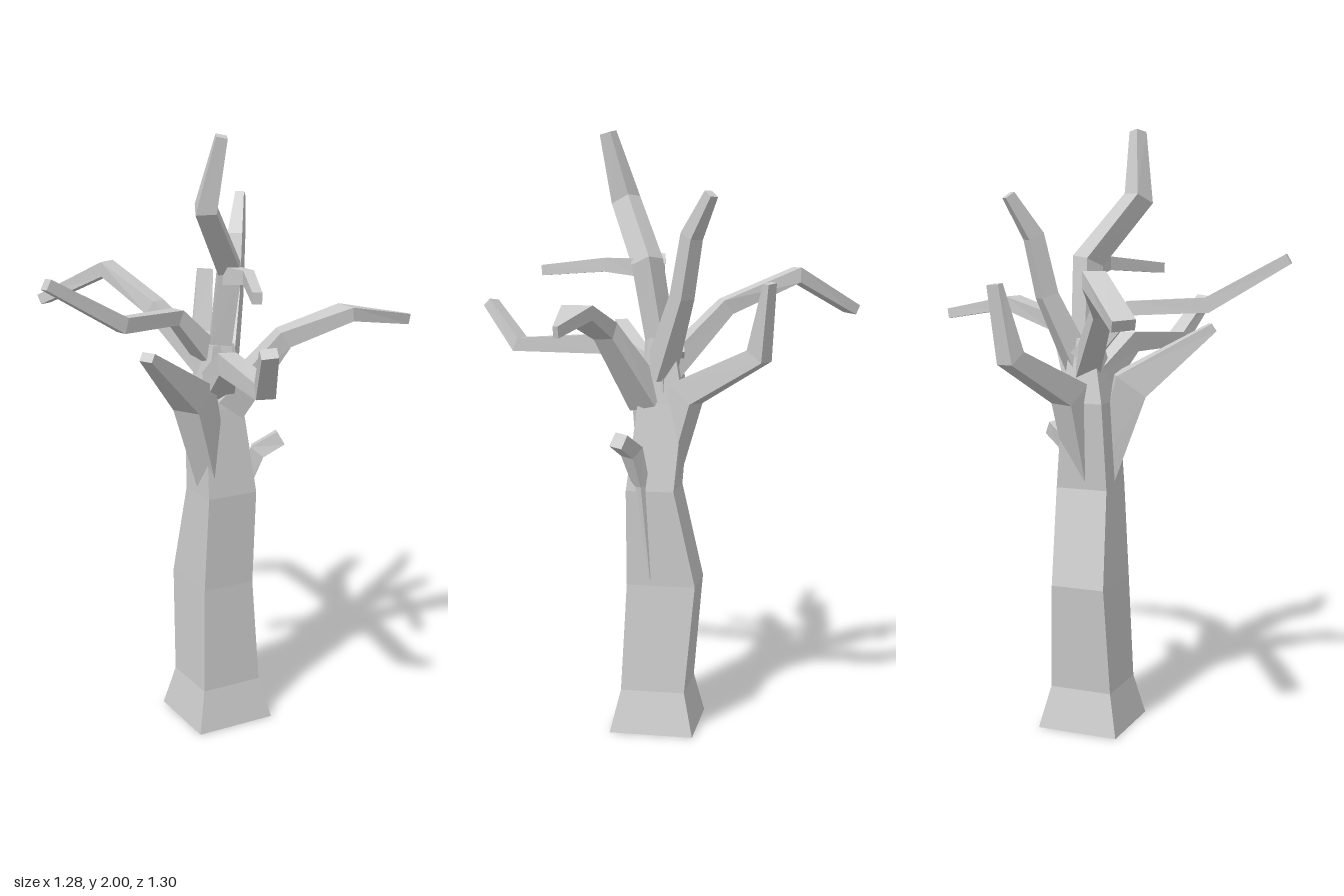
import * as THREE from 'three';

const material = new THREE.MeshStandardMaterial({ color: 0xcccccc, flatShading: true });

// Skin a list of four-cornered rings, closed at both ends.
function loft(name, rings) {
  const pos = [];
  const quad = (a, b, c, d) => [a, b, c, a, c, d].forEach((p) => pos.push(p.x, p.y, p.z));
  for (let k = 0; k < rings.length - 1; k++) {
    const a = rings[k], b = rings[k + 1];
    for (let i = 0; i < 4; i++) {
      const j = (i + 1) % 4;
      quad(a[i], a[j], b[j], b[i]);
    }
  }
  const first = rings[0], last = rings[rings.length - 1];
  quad(first[3], first[2], first[1], first[0]);
  quad(last[0], last[1], last[2], last[3]);
  const geometry = new THREE.BufferGeometry();
  geometry.setAttribute('position', new THREE.Float32BufferAttribute(pos, 3));
  geometry.computeVertexNormals();
  const mesh = new THREE.Mesh(geometry, material);
  mesh.name = name;
  return mesh;
}

// Rectangle around a centre, counterclockwise about side x up.
function ring(center, side, up, w, h) {
  return [[1, 1], [-1, 1], [-1, -1], [1, -1]].map(([a, b]) =>
    center.clone().addScaledVector(side, a * w / 2).addScaledVector(up, b * h / 2));
}

// Four-sided limb through points [x, y, z, width, depth].
function branch(name, points) {
  const p = points.map((q) => new THREE.Vector3(q[0], q[1], q[2]));
  const n = p.length;
  const chord = p[n - 1].clone().sub(p[0]);
  const across = new THREE.Vector3(chord.z, 0, -chord.x).normalize();
  const rings = p.map((c, i) => {
    const t = new THREE.Vector3();
    if (i > 0) t.add(c.clone().sub(p[i - 1]).normalize());
    if (i < n - 1) t.add(p[i + 1].clone().sub(c).normalize());
    t.normalize();
    const side = across.clone().addScaledVector(t, -across.dot(t)).normalize();
    const up = t.clone().cross(side);
    return ring(c, side, up, points[i][3], points[i][4]);
  });
  return loft(name, rings);
}

export function createModel() {
  const tree = new THREE.Group();
  tree.name = 'bareTree';

  // Trunk levels: y, centre x, centre z, size x, size z
  const levels = [
    [0, 0, 0, 0.28, 0.28],
    [0.14, 0, 0, 0.215, 0.215],
    [0.5, -0.003, -0.025, 0.185, 0.23],
    [0.82, 0.012, 0.01, 0.18, 0.16],
    [1.11, 0, -0.02, 0.14, 0.15],
    [1.32, 0.015, -0.02, 0.08, 0.08],
  ];
  const X = new THREE.Vector3(1, 0, 0), Z = new THREE.Vector3(0, 0, 1);
  tree.add(loft('trunk', levels.map(([y, x, z, sx, sz]) =>
    ring(new THREE.Vector3(x, y, z), Z, X, sz, sx))));

  // Limbs from root to tip: x, y, z, width, depth
  const limbs = {
    crownBranch: [[0.01, 1.15, -0.01, 0.09, 0.09], [0.02, 1.32, -0.01, 0.07, 0.07],
      [0.03, 1.57, 0.03, 0.075, 0.075], [-0.11, 1.775, 0.13, 0.065, 0.075], [-0.085, 1.995, 0.185, 0.035, 0.045]],
    crownTwig: [[0.02, 1.55, 0.04, 0.05, 0.06], [0.02, 1.56, 0.17, 0.035, 0.045], [-0.09, 1.54, 0.41, 0.03, 0.035]],
    backRightBranch: [[0.02, 1.2, -0.02, 0.08, 0.08], [-0.12, 1.42, -0.21, 0.06, 0.055],
      [-0.19, 1.525, -0.44, 0.07, 0.05], [-0.355, 1.405, -0.62, 0.07, 0.035]],
    rightUpperBranch: [[0.02, 1.25, -0.05, 0.08, 0.08], [-0.14, 1.42, -0.02, 0.055, 0.05],
      [-0.37, 1.43, 0.075, 0.04, 0.05], [-0.63, 1.58, 0.105, 0.035, 0.035]],
    rightLowerBranch: [[-0.02, 0.84, 0.02, 0.08, 0.08], [-0.11, 1.16, 0.05, 0.1, 0.12], [-0.35, 1.35, 0.2, 0.045, 0.03]],
    leftBranch: [[0.03, 1.12, 0.03, 0.1, 0.1], [0.17, 1.35, 0.14, 0.07, 0.06],
      [0.385, 1.42, 0.18, 0.1, 0.045], [0.64, 1.375, 0.18, 0.015, 0.035]],
    frontBranch: [[0, 1.17, 0, 0.1, 0.1], [-0.06, 1.295, 0.18, 0.06, 0.07],
      [-0.12, 1.285, 0.51, 0.06, 0.05], [-0.18, 1.425, 0.63, 0.05, 0.035]],
    backLeftUpperBranch: [[0.03, 1.2, -0.01, 0.08, 0.08], [0.12, 1.46, -0.1, 0.055, 0.06],
      [0.15, 1.65, -0.135, 0.05, 0.055], [0.205, 1.78, -0.205, 0.03, 0.035]],
    backBranch: [[0.02, 0.85, -0.02, 0.08, 0.08], [0.04, 1.14, -0.1, 0.09, 0.1],
      [0.13, 1.275, -0.35, 0.07, 0.065], [0.165, 1.505, -0.385, 0.055, 0.02]],
    trunkTwig: [[0.08, 0.52, 0.01, 0.015, 0.02], [0.09, 0.84, 0.04, 0.04, 0.04],
      [0.12, 0.955, 0.065, 0.055, 0.055], [0.19, 1.0, 0.095, 0.05, 0.05]],
  };
  for (const [name, points] of Object.entries(limbs)) tree.add(branch(name, points));
  return tree;
}
